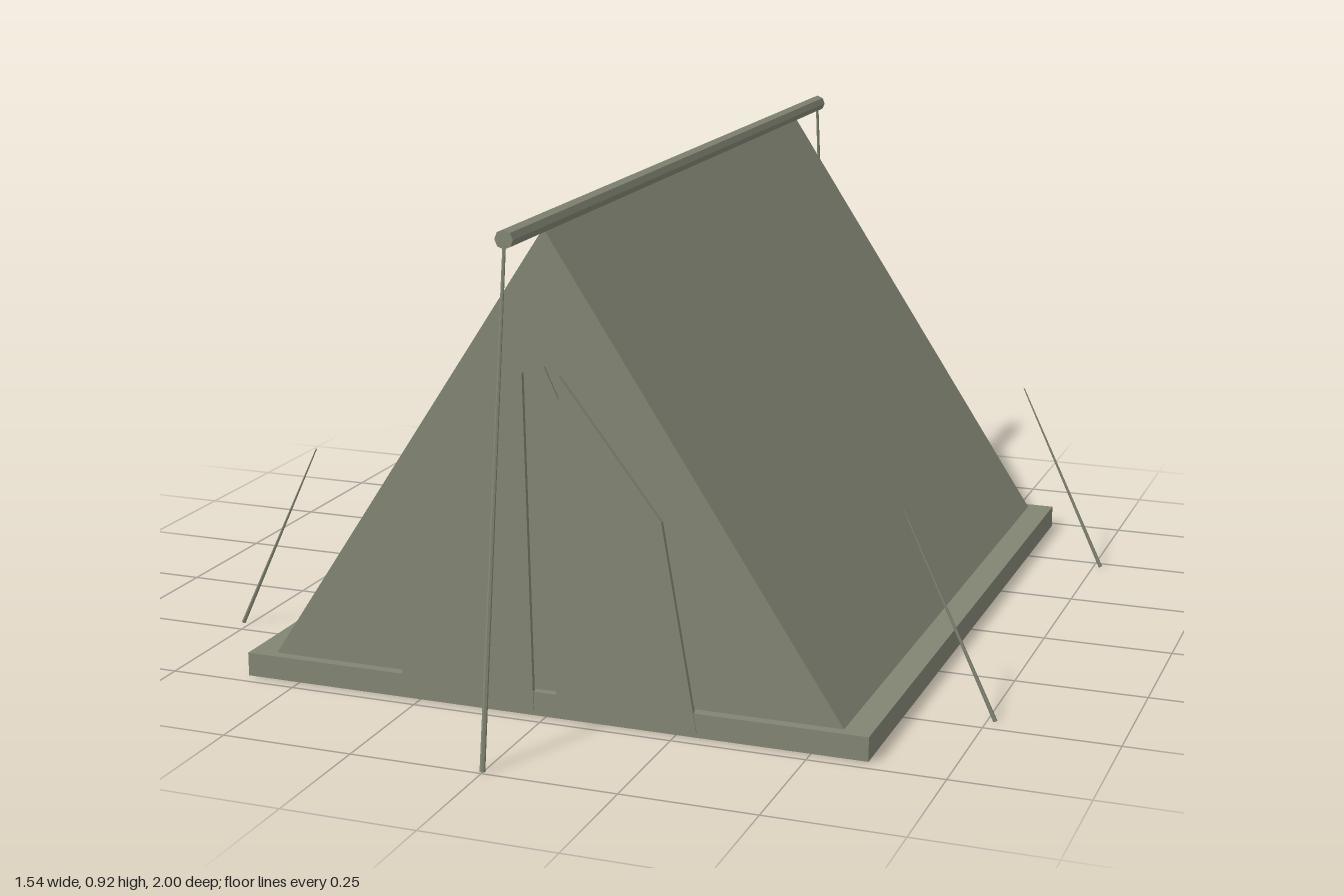
import * as THREE from 'three';

const canvas = new THREE.MeshStandardMaterial({ color: 0x828573, flatShading: true });
canvas.name = 'olive canvas';

function add(group, name, geometry, x = 0, y = 0, z = 0) {
  const mesh = new THREE.Mesh(geometry, canvas);
  mesh.name = name;
  mesh.position.set(x, y, z);
  group.add(mesh);
  return mesh;
}

// Flat outline in x and y, given a thickness along z
function plate(points, depth) {
  const shape = new THREE.Shape(points.map(([x, y]) => new THREE.Vector2(x, y)));
  return new THREE.ExtrudeGeometry(shape, { depth, bevelEnabled: false });
}

// Thin tapering rope from the ground peg up to its free end
function rope(group, name, from, to, r0, r1) {
  const a = new THREE.Vector3(...from);
  const b = new THREE.Vector3(...to);
  const dir = b.clone().sub(a);
  const mesh = add(group, name, new THREE.CylinderGeometry(r1, r0, dir.length(), 6));
  mesh.position.copy(a).add(b).multiplyScalar(0.5);
  mesh.quaternion.setFromUnitVectors(new THREE.Vector3(0, 1, 0), dir.normalize());
}

export function createModel() {
  const tent = new THREE.Group();
  tent.name = 'tent';

  // Groundsheet and ridge-shaped body
  add(tent, 'groundsheet', new THREE.BoxGeometry(1.21, 0.045, 1.45), 0, 0.0225, 0);
  add(tent, 'tentBody', plate([[-0.555, 0.044], [0.555, 0.044], [0, 0.89]], 1.41), 0, 0, -0.705);

  // Ridge pole overhanging both ends
  const pole = new THREE.CylinderGeometry(0.017, 0.017, 1.74, 8);
  pole.rotateX(Math.PI / 2);
  add(tent, 'ridgePole', pole, 0, 0.9, 0);

  // Doorway panel, with a flap to each side
  add(tent, 'doorway', plate([[-0.28, 0.045], [0.28, 0.045], [0, 0.645]], 0.006), 0, 0, 0.704);
  const flap = [[0.022, 0.01], [0.29, 0.01], [0.225, 0.39], [0.035, 0.635]];
  add(tent, 'leftFlap', plate(flap, 0.009), 0, 0, 0.718);
  add(tent, 'rightFlap', plate(flap.map(([x, y]) => [-x, y]), 0.009), 0, 0, 0.718);

  // Guy ropes at the ridge ends and along the sides
  for (const s of [1, -1]) {
    rope(tent, s > 0 ? 'frontRope' : 'backRope', [0, 0, s * 0.995], [0, 0.89, s * 0.868], 0.005, 0.003);
    for (const z of [0.465, -0.475]) {
      rope(tent, 'sideRope', [s * 0.765, 0, z], [s * 0.588, 0.375, z], 0.004, 0.0012);
    }
  }
  return tent;
}
